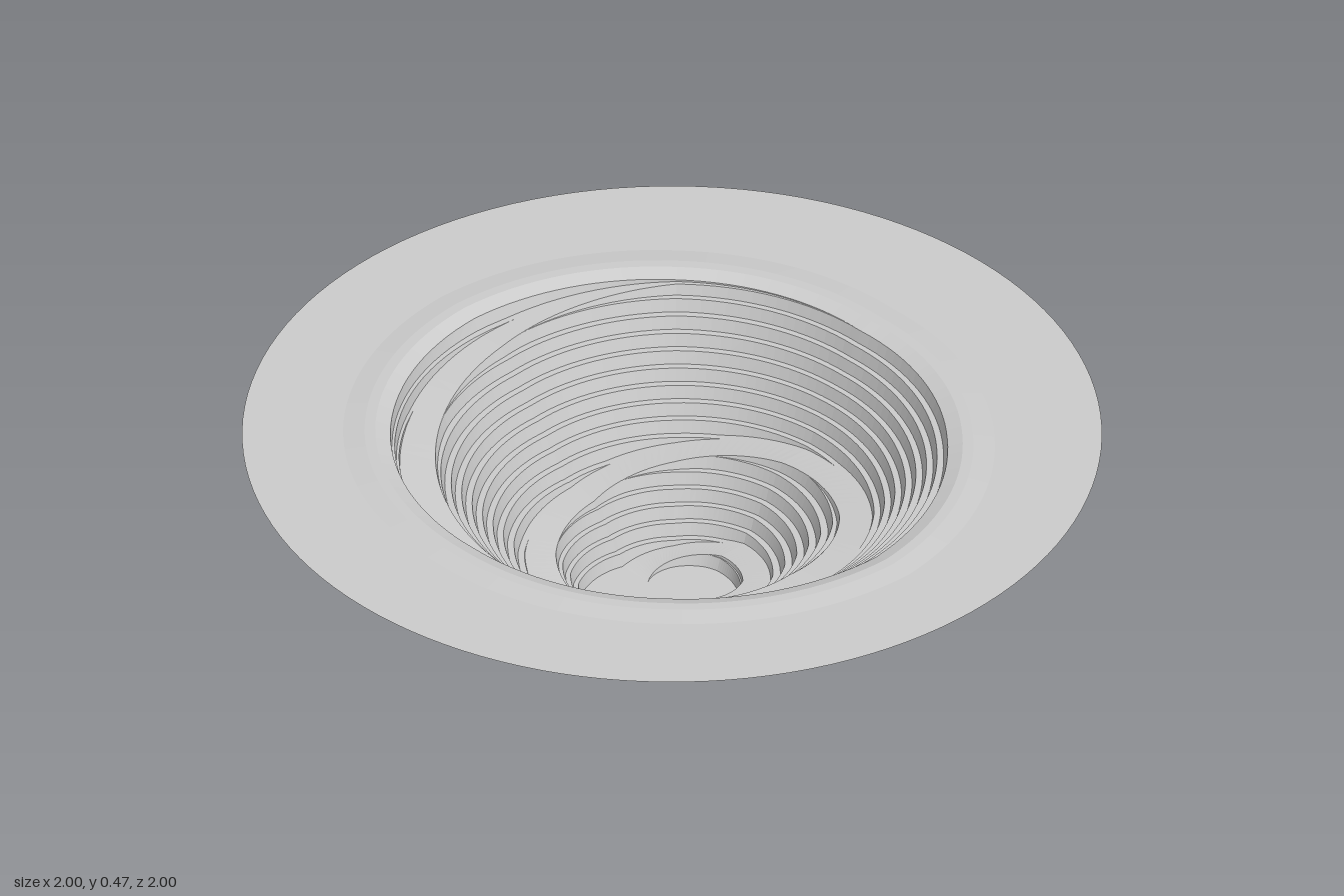
import * as THREE from 'three';

const SEGMENTS = 128;
const BENCHES = 15;
const TOP = 0.455;
const STEP = TOP / BENCHES;
const material = new THREE.MeshStandardMaterial({ color: 0xcccccc, flatShading: true, side: THREE.DoubleSide });

// Values at every eighth of a turn, clockwise from the back
const floorRadius = [0.08, 0.11, 0.13, 0.15, 0.11, 0.14, 0.19, 0.20, 0.15];
const rimRadius = [0.66, 0.63, 0.61, 0.64, 0.68, 0.655, 0.645, 0.655, 0.66];
// Spiral haul ramp: two turns up, then it merges into the rim
const rampInner = [0.08, 0.12, 0.16, 0.165, 0.13, 0.17, 0.265, 0.27, 0.26, 0.30, 0.355, 0.39, 0.39, 0.445, 0.53, 0.55, 0.57, 0.62, ...rimRadius.slice(2)];
const rampOuter = [0.15, 0.17, 0.22, 0.22, 0.195, 0.24, 0.33, 0.34, 0.33, 0.37, 0.43, 0.46, 0.46, 0.53, 0.61, 0.63, 0.63, 0.63, ...rimRadius.slice(2)];
const rampHeight = [0, 0.018, 0.035, 0.045, 0.058, 0.078, 0.10, 0.118, 0.138, 0.17, 0.205, 0.23, 0.257, 0.298, 0.34, 0.38, 0.42, 0.45, ...Array(7).fill(TOP)];

// Linear lookup in a table, t counted in turns
function sample(table, t) {
  const f = t * 8;
  const i = Math.min(Math.floor(f), table.length - 2);
  return THREE.MathUtils.lerp(table[i], table[i + 1], f - i);
}

const rampEdge = (table, u) => [sample(table, u), sample(rampHeight, u)];

// Stepped wall between two [radius, height] points; benches sit on fixed levels
function steppedWall([r0, y0], [r1, y1]) {
  const points = [[r0, y0]];
  const radiusAt = y => (y1 - y0 < 1e-6 ? r1 : r0 + (r1 - r0) * (y - y0) / (y1 - y0));
  for (let k = 0; k < BENCHES; k++) {
    const low = THREE.MathUtils.clamp(k * STEP, y0, y1);
    const high = THREE.MathUtils.clamp((k + 1) * STEP, y0, y1);
    const a = radiusAt(low), b = radiusAt(high);
    points.push([a + (b - a) * 0.62, low], [b, high]);
  }
  points.push([r1, y1]);
  return points;
}

// Sweeps a changing [radius, height] profile once around the pit
function sweep(name, profile) {
  const positions = [];
  const ring = i => {
    const turn = i / SEGMENTS, angle = turn * Math.PI * 2;
    return profile(turn).map(([r, y]) => new THREE.Vector3(r * Math.sin(angle), y, -r * Math.cos(angle)));
  };
  const triangle = (a, b, c) => {
    const area = b.clone().sub(a).cross(c.clone().sub(a)).length();
    if (area > 1e-8) for (const p of [a, b, c]) positions.push(p.x, p.y, p.z);
  };
  let current = ring(0);
  for (let i = 0; i < SEGMENTS; i++) {
    const next = ring(i + 1);
    for (let j = 0; j < current.length - 1; j++) {
      triangle(current[j], next[j], next[j + 1]);
      triangle(current[j], next[j + 1], current[j + 1]);
    }
    current = next;
  }
  const geometry = new THREE.BufferGeometry();
  geometry.setAttribute('position', new THREE.Float32BufferAttribute(positions, 3));
  geometry.computeVertexNormals();
  const mesh = new THREE.Mesh(geometry, material);
  mesh.name = name;
  return mesh;
}

export function createModel() {
  const group = new THREE.Group();
  group.name = 'openPit';

  // Flat pit bottom
  group.add(sweep('pitFloor', t => [[0, 0], [sample(floorRadius, t), 0]]));

  // Terraced walls between the turns of the ramp
  const wallNames = ['lowerBenches', 'middleBenches', 'upperBenches', 'rimBenches'];
  wallNames.forEach((name, n) => group.add(sweep(name, t => steppedWall(
    n === 0 ? [sample(floorRadius, t), 0] : rampEdge(rampOuter, t + n - 1),
    n === 3 ? [sample(rimRadius, t), TOP] : rampEdge(rampInner, t + n)
  ))));

  // Haul ramp, one sweep per turn
  const ramp = new THREE.Group();
  ramp.name = 'haulRamp';
  for (let n = 0; n < 3; n++) {
    ramp.add(sweep('rampTurn' + (n + 1), t => [rampEdge(rampInner, t + n), rampEdge(rampOuter, t + n)]));
  }
  group.add(ramp);

  // Surrounding ground with a slight lip around the pit
  group.add(sweep('ground', t => {
    const r = sample(rimRadius, t);
    return [[r, TOP], [r + 0.035, 0.467], [r + 0.06, 0.467], [r + 0.11, 0.461], [1, 0.461]];
  }));

  return group;
}
